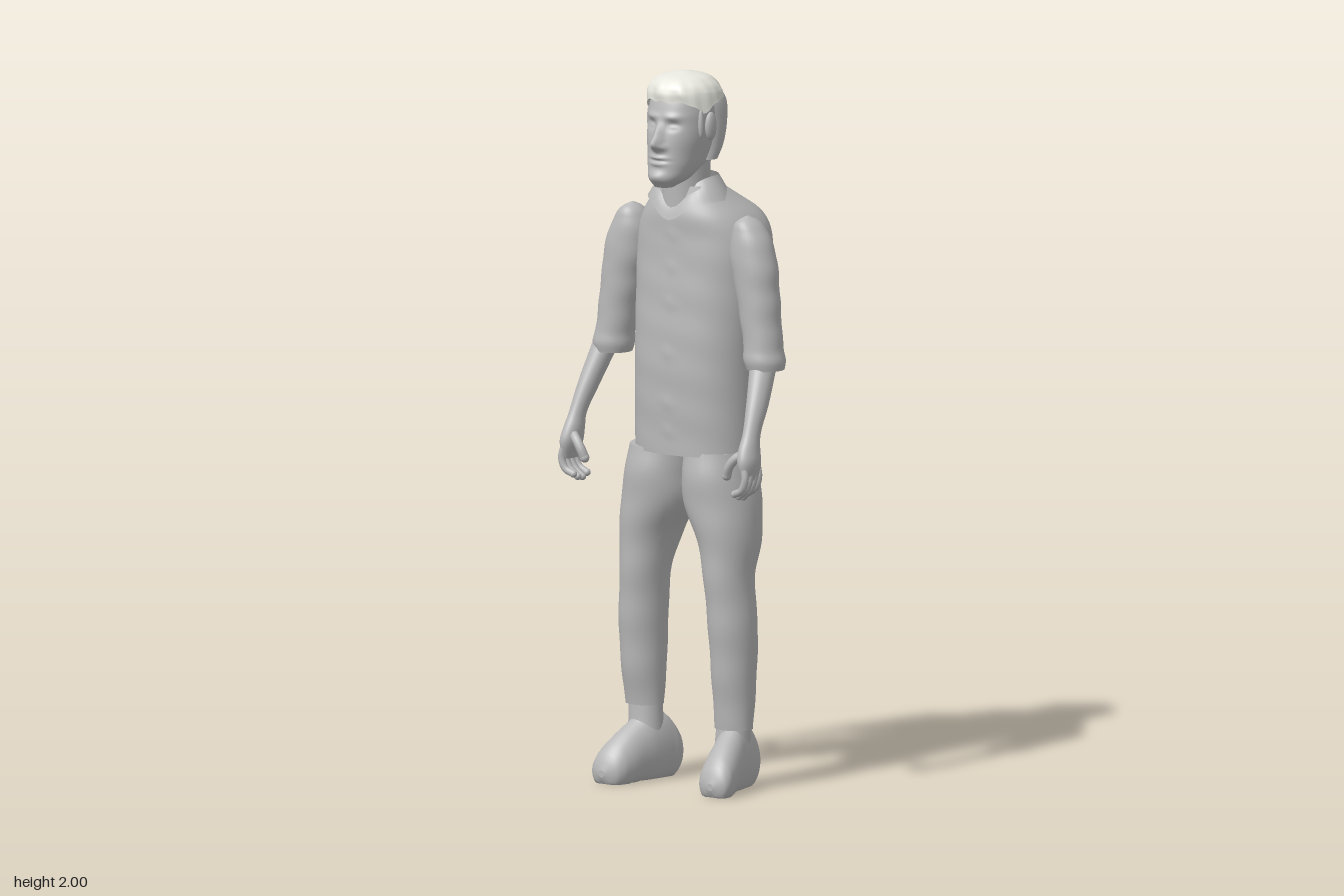
import * as THREE from 'three';

const material = (name, color, side = THREE.FrontSide) => {
  const m = new THREE.MeshStandardMaterial({ color, side });
  m.name = name;
  return m;
};
const bump = (v, c, w) => Math.exp(-(((v - c) / w) ** 2));
const soften = (c, power) => Math.sign(c) * Math.abs(c) ** power;

// Loft of ellipses. Each section is [height, cx, c2, r1, r2], in ascending order
// along y (rings in x,z) or along z (rings in x,y). A power below 1 squares the
// rings off; "shape" may move each vertex.
function loft(sections, { axis = 'y', rings = 24, sides = 28, power = 1, shape, open = false } = {}) {
  const times = sections.map(s => s[0]);
  const curve = new THREE.CubicInterpolant(times, sections.flatMap(s => s.slice(1)), 4, new Float32Array(4));
  const pos = [], index = [], v = new THREE.Vector3();
  for (let j = 0; j <= rings; j++) {
    const t = times[0] + (times[times.length - 1] - times[0]) * j / rings;
    const [cx, c2, r1, r2] = curve.evaluate(t);
    for (let i = 0; i < sides; i++) {
      const a = i / sides * Math.PI * 2, x = cx + Math.max(r1, 0.002) * soften(Math.cos(a), power);
      const s = Math.max(r2, 0.002) * soften(Math.sin(a), power);
      if (axis === 'y') v.set(x, t, c2 - s); else v.set(x, c2 + s, t);
      if (shape) shape(v, a);
      pos.push(v.x, v.y, v.z);
      if (j < rings) {
        const p = j * sides + i, q = j * sides + (i + 1) % sides;
        index.push(p, q, p + sides, q, q + sides, p + sides);
      }
    }
  }
  // Flat end caps with their own corners, so the rims stay sharp
  if (!open) for (const j of [0, rings]) {
    const base = pos.length / 3, mid = [0, 0, 0];
    for (let i = 0; i < sides; i++) for (let k = 0; k < 3; k++) {
      const c = pos[(j * sides + i) * 3 + k];
      pos.push(c);
      mid[k] += c / sides;
    }
    pos.push(...mid);
    for (let i = 0; i < sides; i++) {
      const p = base + i, q = base + (i + 1) % sides;
      index.push(base + sides, j ? p : q, j ? q : p);
    }
  }
  const g = new THREE.BufferGeometry();
  g.setAttribute('position', new THREE.Float32BufferAttribute(pos, 3));
  g.setIndex(index);
  g.computeVertexNormals();
  return g;
}

export function createModel() {
  const model = new THREE.Group();
  model.name = 'standingMan';
  const grey = material('bodyGrey', 0xb8b8b8);
  const collarGrey = material('collarGrey', 0xb6b6b6, THREE.DoubleSide);
  const pale = material('paleHair', 0xe8e8e0);
  const add = (name, geometry, mat = grey) => {
    const m = new THREE.Mesh(geometry, mat);
    m.name = name;
    model.add(m);
    return m;
  };
  const ball = (name, p, s) => {
    const m = add(name, new THREE.SphereGeometry(1, 16, 12));
    m.position.set(...p);
    m.scale.set(...s);
  };

  // Shirt with soft folds and a faint row of buttons
  add('shirt', loft([
    [0.935, 0.006, -0.015, 0.181, 0.135], [1.2, 0.006, -0.02, 0.182, 0.145],
    [1.4, 0.008, -0.035, 0.19, 0.148], [1.54, 0.008, -0.048, 0.192, 0.15],
    [1.6, 0.006, -0.04, 0.165, 0.142], [1.65, 0.003, -0.01, 0.12, 0.1],
    [1.685, 0, 0.015, 0.09, 0.07],
  ], {
    rings: 64, sides: 64, power: 0.88, shape: (v, a) => {
      v.z += 0.0008 * Math.sin(v.y * 55 + 2 * a) * Math.sin(a);
      if (v.z > 0) for (const y of [1.55, 1.46, 1.36, 1.22, 1.08, 1.0]) v.z += 0.004 * bump(v.x, 0.006, 0.012) * bump(v.y, y, 0.016);
    },
  }));
  // Collar, dipping to a notch at the throat
  add('collar', loft([
    [1.645, 0, 0.012, 0.125, 0.1], [1.675, 0, 0.012, 0.106, 0.09], [1.71, 0, 0.01, 0.083, 0.07],
  ], {
    rings: 6, sides: 40, open: true,
    shape: v => { v.y -= 0.055 * bump(v.x, 0, 0.06) * THREE.MathUtils.clamp((v.z - 0.02) / 0.05, 0, 1); },
  }), collarGrey);

  // Neck and head, with brow, eye sockets, nose, lips and chin formed by bumps
  add('neck', loft([[1.58, 0, 0.03, 0.07, 0.07], [1.68, 0, 0.03, 0.065, 0.07], [1.8, 0, 0.03, 0.068, 0.075]], { rings: 8 }));
  add('head', loft([
    [1.688, 0, 0.13, 0.026, 0.025], [1.71, 0, 0.1, 0.05, 0.07], [1.74, 0, 0.07, 0.066, 0.096],
    [1.78, 0, 0.052, 0.077, 0.107], [1.82, 0, 0.045, 0.085, 0.11], [1.86, 0, 0.036, 0.089, 0.112],
    [1.9, 0, 0.031, 0.09, 0.11], [1.94, 0, 0.03, 0.084, 0.096], [1.97, 0, 0.033, 0.062, 0.07],
    [1.985, 0, 0.033, 0.03, 0.035],
  ], {
    rings: 84, sides: 88, power: 0.88, shape: v => {
      if (v.z < 0.07) return;
      const x = Math.abs(v.x), y = v.y;
      v.z += 0.036 * bump(x, 0, 0.013) * bump(y, 1.812, 0.02)
        + 0.016 * bump(x, 0, 0.012) * bump(y, 1.845, 0.022)
        + 0.009 * bump(x, 0.018, 0.009) * bump(y, 1.802, 0.009)
        - 0.011 * bump(x, 0.036, 0.018) * bump(y, 1.861, 0.012)
        + 0.006 * bump(x, 0.036, 0.011) * bump(y, 1.858, 0.006)
        + 0.006 * bump(x, 0.034, 0.025) * bump(y, 1.885, 0.009)
        + 0.008 * bump(x, 0, 0.024) * (bump(y, 1.772, 0.006) + bump(y, 1.756, 0.007))
        - 0.005 * bump(x, 0, 0.027) * bump(y, 1.764, 0.004)
        + 0.006 * bump(x, 0, 0.024) * bump(y, 1.72, 0.014);
    },
  }));

  // Close-cropped hair behind the ears, under the pale top
  add('backHair', loft([
    [1.755, 0, 0.005, 0.082, 0.05], [1.79, 0, -0.008, 0.089, 0.058], [1.86, 0, -0.014, 0.098, 0.064],
    [1.92, -0.001, -0.008, 0.1, 0.066], [1.95, -0.002, 0, 0.09, 0.06],
  ], { rings: 20, sides: 40 }));
  // Tousled hair on top, lower at the temples than at the back
  add('topHair', loft([
    [1.925, -0.002, 0.03, 0.107, 0.106], [1.95, -0.002, 0.033, 0.101, 0.103],
    [1.975, -0.002, 0.035, 0.083, 0.086], [1.99, -0.002, 0.035, 0.057, 0.06], [2.0, -0.002, 0.035, 0.012, 0.012],
  ], {
    rings: 26, sides: 72, shape: (v, a) => {
      const k = 0.0018 * Math.sin(9 * a + 60 * v.y) + 0.001 * Math.sin(17 * a);
      const fade = Math.min(1, (2 - v.y) / 0.05), low = THREE.MathUtils.clamp((1.95 - v.y) / 0.025, 0, 1);
      v.y -= low * (0.03 * bump(Math.abs(v.x), 0.1, 0.03) * bump(v.z, 0.075, 0.035) + 0.003 * Math.sin(13 * a));
      v.x += k * fade * Math.cos(a);
      v.z -= k * fade * Math.sin(a);
    },
  }), pale);

  for (const s of [1, -1]) {
    const side = s > 0 ? 'left' : 'right';
    // Shifts the sections of a left part to either side
    const to = (list, dx = 0) => list.map(([t, x, ...r]) => [t, x * s + dx, ...r]);

    ball(side + 'Ear', [s * 0.097, 1.855, 0.045], [0.012, 0.04, 0.022]);
    ball(side + 'Sideburn', [s * 0.088, 1.865, 0.078], [0.008, 0.04, 0.009]);

    add(side + 'Sleeve', loft(to([
      [1.19, 0.262, 0.028, 0.052, 0.054], [1.215, 0.26, 0.028, 0.058, 0.06], [1.245, 0.256, 0.027, 0.055, 0.057],
      [1.4, 0.232, 0.022, 0.062, 0.059], [1.5, 0.214, 0.02, 0.067, 0.06], [1.57, 0.203, 0.02, 0.048, 0.05],
      [1.6, 0.199, 0.023, 0.026, 0.033], [1.612, 0.198, 0.024, 0.004, 0.006],
    ], 0.01), { rings: 48, shape: v => { v.x += 0.001 * Math.sin(v.y * 70); } }));

    add(side + 'Forearm', loft(to([
      [0.9, 0.31, 0.146, 0.013, 0.034], [0.95, 0.306, 0.148, 0.026, 0.043], [0.985, 0.302, 0.142, 0.025, 0.038],
      [1.02, 0.3, 0.13, 0.022, 0.031], [1.1, 0.291, 0.09, 0.028, 0.037], [1.21, 0.272, 0.035, 0.036, 0.042],
    ]), { rings: 28 }));

    // Curled fingers and thumb
    const finger = (name, points, r) => {
      const path = new THREE.CatmullRomCurve3(points.map(([x, y, z]) => new THREE.Vector3(x * s, y, z)));
      add(name, new THREE.TubeGeometry(path, 10, r, 8));
      const [x, y, z] = points[points.length - 1];
      ball(name + 'Tip', [x * s, y, z], [r, r, r]);
    };
    [0.115, 0.136, 0.157, 0.177].forEach((z, i) => {
      const end = 0.845 + 0.009 * Math.abs(i - 1.3);
      finger(side + 'Finger', [[0.308, 0.94, z], [0.316, 0.905, z + 0.003], [0.304, 0.873, z + 0.003], [0.278, end, z]], 0.0105);
    });
    finger(side + 'Thumb', [[0.3, 0.975, 0.155], [0.275, 0.958, 0.17], [0.255, 0.932, 0.174], [0.245, 0.908, 0.17]], 0.0135);

    // Trouser leg; the right hem sits a little higher
    add(side + 'TrouserLeg', loft(to([
      [s > 0 ? 0.17 : 0.21, 0.154, 0.012, 0.056, 0.047], [0.3, 0.155, 0.013, 0.061, 0.063], [0.45, 0.154, 0.017, 0.066, 0.074],
      [0.6, 0.143, 0.02, 0.067, 0.082], [0.7, 0.133, 0.005, 0.084, 0.102], [0.8, 0.106, 0, 0.106, 0.115],
      [0.88, 0.098, -0.002, 0.1, 0.118], [0.945, 0.093, -0.008, 0.095, 0.114],
    ], -0.002), { rings: 48, shape: v => { v.z += 0.0012 * Math.sin(v.y * 45); } }));

    // Ankle and foot, turned outward, flat underneath
    add(side + 'Ankle', loft(to([
      [0.08, 0.148, 0.012, 0.052, 0.06], [0.16, 0.151, 0.012, 0.05, 0.048], [0.25, 0.154, 0.012, 0.048, 0.042],
    ]), { rings: 10 }));
    add(side + 'Foot', loft(to([
      [-0.096, 0.13, 0.07, 0.008, 0.012], [-0.09, 0.131, 0.07, 0.024, 0.04], [-0.07, 0.134, 0.072, 0.043, 0.072],
      [-0.03, 0.142, 0.085, 0.051, 0.1], [0.03, 0.152, 0.085, 0.052, 0.105], [0.065, 0.162, 0.075, 0.053, 0.09],
      [0.12, 0.176, 0.048, 0.055, 0.077], [0.15, 0.183, 0.036, 0.052, 0.06], [0.168, 0.186, 0.032, 0.037, 0.037],
      [0.177, 0.187, 0.03, 0.01, 0.01],
    ], 0.005), { axis: 'z', rings: 44, shape: v => { v.y = Math.max(0, v.y); } }));
  }
  return model;
}
